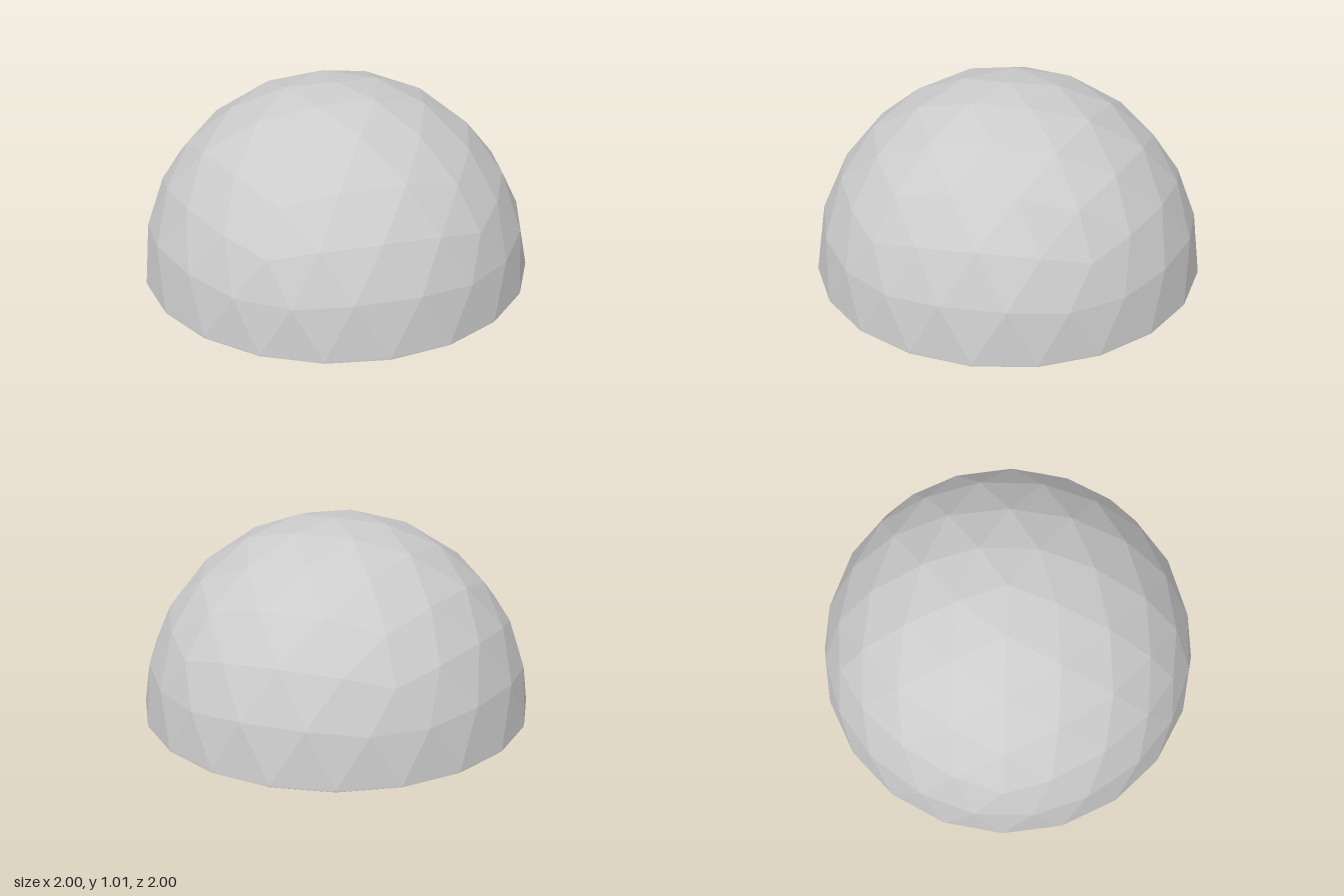
import * as THREE from 'three';
import { mergeGeometries } from 'three/addons/utils/BufferGeometryUtils.js';

const BAR = 0.015; // bar radius, also the height of the dome's equator

// Hexagonal bar between two points, a flat side facing away from the dome centre
function barGeometry(a, b) {
  const along = b.clone().sub(a);
  const geo = new THREE.CylinderGeometry(BAR, BAR, along.length(), 6);
  const y = along.clone().normalize();
  const mid = a.clone().add(b).multiplyScalar(0.5);
  const x = mid.clone().normalize();
  const z = x.clone().cross(y).normalize();
  geo.applyMatrix4(new THREE.Matrix4().makeBasis(x, y, z).setPosition(mid));
  return geo;
}

export function createModel() {
  const model = new THREE.Group();
  model.name = 'geodesicDome';

  // Subdivided icosahedron, turned so one vertex is on top and one ridge runs to +x
  const sphere = new THREE.IcosahedronGeometry(1, 3);
  sphere.rotateX(-Math.atan((1 + Math.sqrt(5)) / 2));
  sphere.rotateY(Math.PI / 2);

  // Keep the upper half: triangles for panels, unique edges for bars
  const pos = sphere.attributes.position;
  const panelPoints = [];
  const edges = new Map();
  const key = (v) => v.toArray().map((n) => Math.round(n * 1000) + 0).join(',');
  for (let i = 0; i < pos.count; i += 3) {
    const tri = [0, 1, 2].map((k) => new THREE.Vector3().fromBufferAttribute(pos, i + k));
    if (tri.some((v) => v.y < -0.001)) continue;
    panelPoints.push(...tri);
    tri.forEach((a, k) => {
      const b = tri[(k + 1) % 3];
      edges.set([key(a), key(b)].sort().join('|'), [a, b]);
    });
  }

  // Flat covering panels
  const panelGeo = new THREE.BufferGeometry().setFromPoints(panelPoints);
  panelGeo.computeVertexNormals();
  const panels = new THREE.Mesh(panelGeo, new THREE.MeshStandardMaterial({
    color: 0xcccccc, flatShading: true, side: THREE.DoubleSide,
  }));
  panels.name = 'panels';

  // Frame of bars just under the panels, including the base ring
  const inset = 1 - BAR;
  const bars = [...edges.values()].map(([a, b]) =>
    barGeometry(a.clone().multiplyScalar(inset), b.clone().multiplyScalar(inset)));
  const frame = new THREE.Mesh(mergeGeometries(bars), new THREE.MeshStandardMaterial({
    color: 0xcccccc, flatShading: true,
  }));
  frame.name = 'frameBars';

  panels.position.y = frame.position.y = BAR;
  model.add(panels, frame);
  return model;
}
